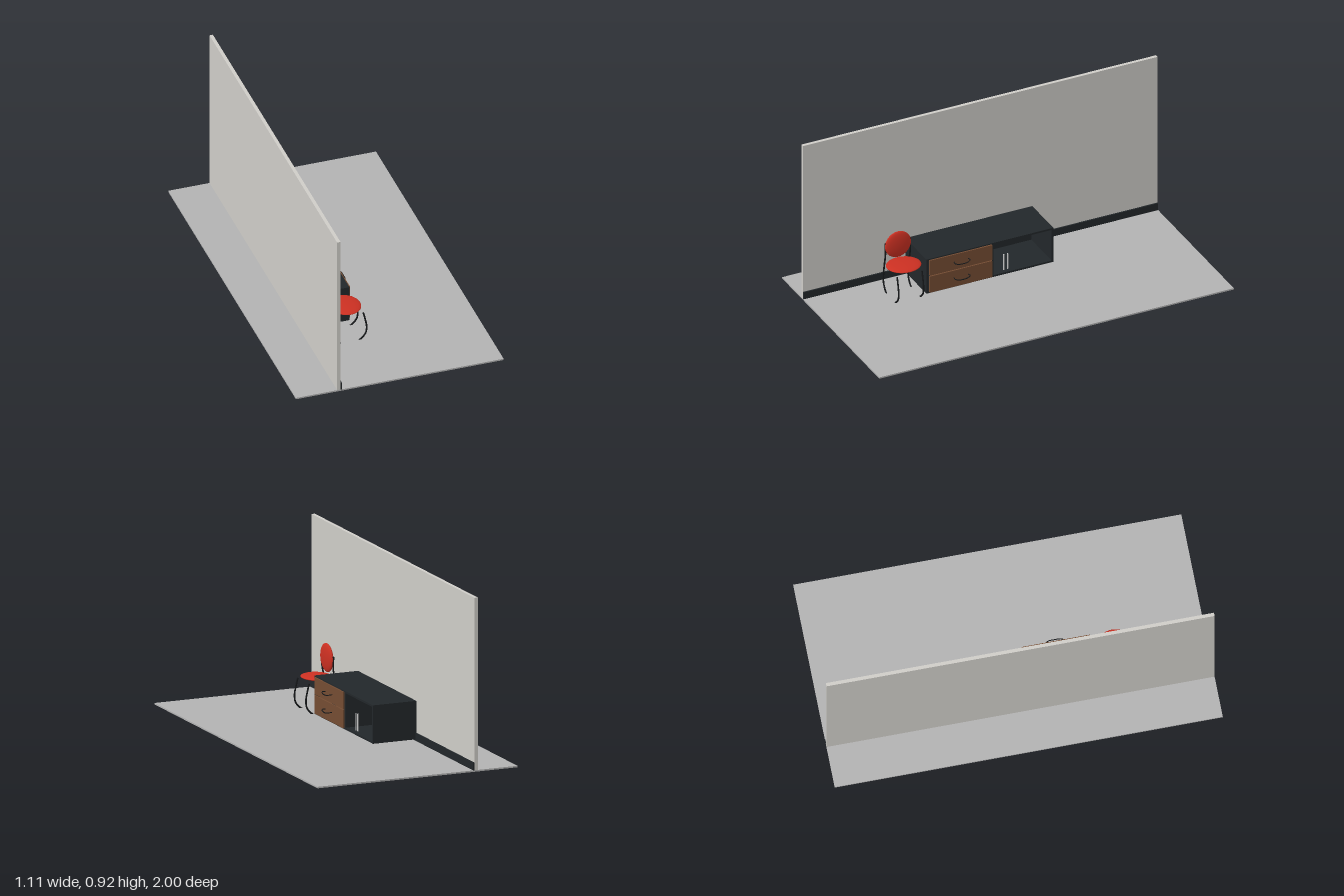
import * as THREE from 'three';

const mat = (color) => new THREE.MeshStandardMaterial({ color });

export function createModel() {
  const root = new THREE.Group();
  const floorMat = mat(0xb2b2b2), wallMat = mat(0xcfcdc8), dark = mat(0x22272a);
  const wood = mat(0x744c32), red = mat(0xcc3022), black = mat(0x16181a), steel = mat(0xcccccc);

  const add = (parent, name, geometry, material) => {
    const mesh = new THREE.Mesh(geometry, material);
    mesh.name = name;
    parent.add(mesh);
    return mesh;
  };
  // Box given by its minimum and maximum on each axis
  const box = (parent, name, material, x0, x1, y0, y1, z0, z1) =>
    add(parent, name, new THREE.BoxGeometry(x1 - x0, y1 - y0, z1 - z0), material)
      .position.set((x0 + x1) / 2, (y0 + y1) / 2, (z0 + z1) / 2);
  const tube = (parent, name, material, points, radius, segments) => {
    const curve = new THREE.CatmullRomCurve3(points.map((p) => new THREE.Vector3(...p)));
    add(parent, name, new THREE.TubeGeometry(curve, segments, radius, 8), material);
    // Rounded ends close the tube
    for (const p of [points[0], points[points.length - 1]])
      add(parent, name + 'End', new THREE.SphereGeometry(radius, 8, 6), material).position.set(...p);
  };
  const ellipsoid = (parent, name, material, center, radii) => {
    const mesh = add(parent, name, new THREE.SphereGeometry(1, 40, 24), material);
    mesh.position.set(...center);
    mesh.scale.set(...radii);
  };

  // Room: floor slab, wall and skirting
  box(root, 'floor', floorMat, -0.555, 0.555, 0.015, 0.023, -1, 1);
  box(root, 'wall', wallMat, -0.335, -0.317, 0.023, 0.92, -1, 1);
  box(root, 'skirting', dark, -0.317, -0.309, 0.023, 0.063, -1, 1);

  // Cabinet carcass, open on its far half
  const cabinet = new THREE.Group();
  cabinet.name = 'cabinet';
  root.add(cabinet);
  const t = 0.01, back = -0.314, front = -0.073;
  box(cabinet, 'cabinetTop', dark, back, front, 0.22, 0.23, -0.292, 0.424);
  box(cabinet, 'cabinetBottom', dark, back, front, 0.03, 0.04, -0.292, 0.424);
  box(cabinet, 'cabinetBack', dark, back, back + t, 0.04, 0.22, -0.292, 0.424);
  for (const z of [-0.292, 0.047, 0.414])
    box(cabinet, 'cabinetSide', dark, back + t, front, 0.04, 0.22, z, z + t);

  // Two wooden drawers with bowed handles
  for (const [y0, y1, hy] of [[0.036, 0.131, 0.086], [0.136, 0.224, 0.178]]) {
    box(cabinet, 'drawerFront', wood, front, -0.065, y0, y1, 0.056, 0.409);
    box(cabinet, 'drawerBody', dark, back + t, front, Math.max(y0, 0.042), y1 - 0.008, 0.06, 0.405);
    tube(cabinet, 'drawerHandle', black, [
      [-0.066, hy + 0.003, 0.272], [-0.05, hy + 0.003, 0.275], [-0.042, hy - 0.001, 0.262],
      [-0.04, hy - 0.004, 0.232],
      [-0.042, hy - 0.001, 0.202], [-0.05, hy + 0.003, 0.189], [-0.066, hy + 0.003, 0.192],
    ], 0.0025, 32);
  }

  // Upright bars in the open compartment
  for (const z of [-0.025, -0.047])
    add(cabinet, 'uprightBar', new THREE.CylinderGeometry(0.0035, 0.0035, 0.09, 12), steel)
      .position.set(-0.1, 0.085, z);

  // Chair: padded seat and back on two curved side tubes
  const chair = new THREE.Group();
  chair.name = 'chair';
  root.add(chair);
  ellipsoid(chair, 'seat', red, [-0.13, 0.197, 0.525], [0.08, 0.012, 0.092]);
  ellipsoid(chair, 'backrest', red, [-0.188, 0.289, 0.528], [0.016, 0.074, 0.073]);
  const legPath = [
    [-0.193, 0.305], [-0.192, 0.24], [-0.204, 0.175], [-0.215, 0.11], [-0.211, 0.06],
    [-0.18, 0.02], [-0.13, 0.008], [-0.08, 0.02], [-0.046, 0.055], [-0.04, 0.095],
    [-0.049, 0.145], [-0.057, 0.178],
  ];
  for (const z of [0.457, 0.597])
    tube(chair, 'sideTube', black, legPath.map(([x, y]) => [x, y, z]), 0.0045, 64);

  return root;
}
